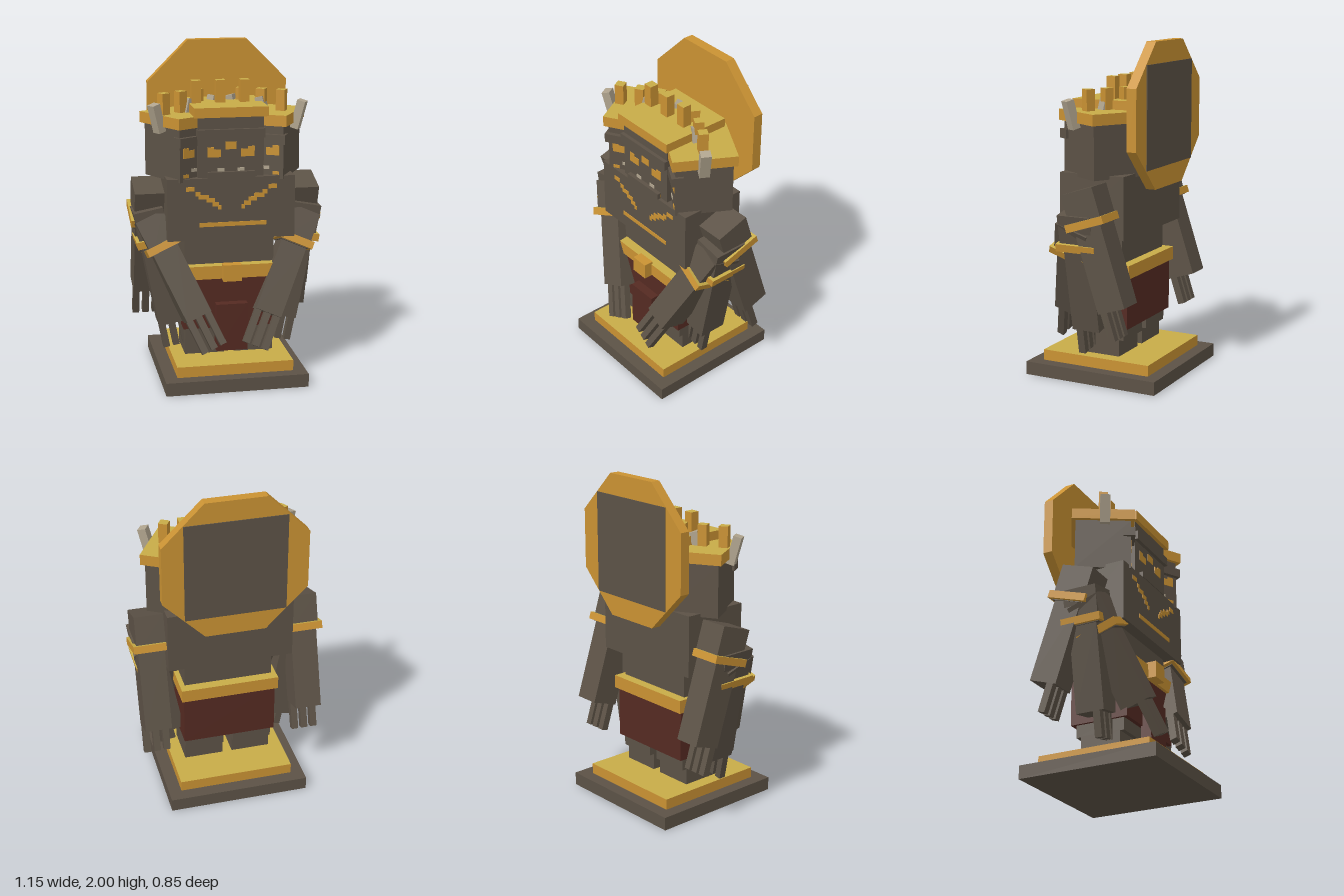
import * as THREE from 'three';

const mat = (name, color) => Object.assign(new THREE.MeshStandardMaterial({ color }), { name });
const rad = THREE.MathUtils.degToRad;

export function createModel() {
  const stone = mat('stone', 0x5c5246);
  const gold = mat('gold', 0xca9233);
  const paleGold = mat('pale gold', 0xc8ac48);
  const red = mat('dark red cloth', 0x552a22);
  const bone = mat('bone', 0xb0a48e);
  // gold slabs have a paler top face
  const gilded = [gold, gold, paleGold, gold, gold, gold];

  const model = new THREE.Group();
  model.name = 'guardianStatue';

  const group = (name, parent, x = 0, y = 0, z = 0) => {
    const g = new THREE.Group();
    g.name = name;
    g.position.set(x, y, z);
    parent.add(g);
    return g;
  };
  // box given by its min and max on each axis
  const box = (name, m, [x0, x1], [y0, y1], [z0, z1], parent = model) => {
    const b = new THREE.Mesh(new THREE.BoxGeometry(x1 - x0, y1 - y0, z1 - z0), m);
    b.position.set((x0 + x1) / 2, (y0 + y1) / 2, (z0 + z1) / 2);
    b.name = name;
    parent.add(b);
    return b;
  };

  // plinth
  box('plinth', stone, [-0.427, 0.427], [0, 0.08], [-0.427, 0.427]);
  box('plinthTop', gilded, [-0.35, 0.35], [0.08, 0.145], [-0.35, 0.35]);

  // lower body
  for (const s of [-1, 1]) {
    const leg = group('leg', model, s * 0.15);
    box('foot', stone, [-0.12, 0.12], [0.145, 0.25], [-0.12, 0.13], leg);
    box('shin', stone, [-0.12, 0.12], [0.245, 0.34], [-0.15, 0.155], leg);
  }
  box('skirt', red, [-0.285, 0.285], [0.32, 0.64], [-0.18, 0.18]);
  box('frontCloth', red, [-0.095, 0.095], [0.19, 0.48], [0.17, 0.235]);
  box('belt', gilded, [-0.3, 0.3], [0.63, 0.71], [-0.2, 0.2]);
  box('buckle', gold, [-0.055, 0.055], [0.625, 0.725], [0.19, 0.25]);
  box('waist', stone, [-0.27, 0.27], [0.7, 0.88], [-0.14, 0.14]);

  // chest with painted ornaments
  box('chest', stone, [-0.38, 0.38], [0.875, 1.245], [-0.205, 0.21]);
  box('chestStripe', gold, [-0.19, 0.21], [0.955, 0.98], [0.21, 0.214]);
  const steps = [[0.245, 1.185, 0.05], [0.2, 1.155, 0.03], [0.165, 1.135, 0.06],
    [0.125, 1.115, 0.05], [0.095, 1.09, 0.04], [0.07, 1.07, 0.02]];
  for (const s of [-1, 1]) {
    for (const [x, y, w] of steps) {
      box('necklace', gold, [s * x - w / 2, s * x + w / 2], [y - 0.013, y + 0.013], [0.21, 0.214]);
    }
  }

  // painted face on a head whose front is at z
  const face = (parent, z) => {
    const at = [z, z + 0.004];
    for (const s of [-1, 1]) {
      box('eye', gold, [s * 0.1 - 0.04, s * 0.1 + 0.04], [1.365, 1.41], at, parent);
      box('eyeCorner', gold, [s * 0.12 - 0.02, s * 0.12 + 0.02], [1.41, 1.425], at, parent);
      box('fang', bone, [s * 0.06 - 0.02, s * 0.06 + 0.02], [1.28, 1.3], at, parent);
      box('cheekMark', gold, [s * 0.12 - 0.02, s * 0.12 + 0.02], [1.25, 1.27], at, parent);
    }
    box('foreheadGem', gold, [-0.033, 0.033], [1.41, 1.455], at, parent);
  };

  // middle head and crown
  box('head', stone, [-0.195, 0.195], [1.23, 1.6], [-0.19, 0.19]);
  face(model, 0.19);
  box('brow', stone, [-0.2, 0.2], [1.475, 1.53], [0.15, 0.212]);
  box('jaw', stone, [-0.14, 0.14], [1.245, 1.28], [0.18, 0.215]);
  box('crown', gilded, [-0.218, 0.218], [1.6, 1.658], [-0.22, 0.213]);
  for (const x of [-0.175, -0.03, 0.115]) {
    box('crownProng', gilded, [x - 0.028, x + 0.028], [1.65, 1.79], [-0.028, 0.028]);
  }

  // turned side heads with their own crowns
  for (const s of [-1, 1]) {
    const g = group('sideHead', model, s * 0.245, 0, -0.005);
    g.rotation.y = rad(-30 * s);
    box('sideHeadBlock', stone, [-0.165, 0.165], [1.225, 1.54], [-0.165, 0.165], g);
    box('sideBrow', stone, [-0.18, 0.18], [1.435, 1.49], [0.12, 0.19], g);
    face(g, 0.165);
    box('sideCrown', gilded, [-0.187, 0.187], [1.54, 1.605], [-0.187, 0.187], g);
    for (const x of [-0.15, -0.025, 0.1]) {
      box('sideProng', gilded, [x - 0.027, x + 0.027], [1.6, 1.73], [-0.027, 0.027], g);
    }
    for (const [x, y] of [[0.21, 1.59], [-0.01, 1.6], [-0.2, 1.6]]) {
      const spike = box('boneSpike', bone, [-0.025, 0.025], [-0.085, 0.085], [-0.03, 0.03], g);
      spike.position.set(s * x, y, 0.01);
      spike.rotation.z = rad(x > 0 ? -15 * s : 15 * s);
    }
  }

  // halo disc with a stone back panel
  const octagon = new THREE.Shape([[0.18, 0.425], [-0.18, 0.425], [-0.427, 0.178], [-0.427, -0.178],
    [-0.18, -0.425], [0.18, -0.425], [0.427, -0.178], [0.427, 0.178]].map(p => new THREE.Vector2(...p)));
  const halo = new THREE.Mesh(new THREE.ExtrudeGeometry(octagon, { depth: 0.06, bevelEnabled: false }), gold);
  halo.name = 'halo';
  halo.position.set(0, 1.575, -0.31);
  model.add(halo);
  box('haloBack', stone, [-0.3, 0.3], [1.275, 1.875], [-0.315, -0.308]);

  // three arms a side: position, tilt about x and z, forearm end, fingertip
  const arms = [
    ['backArm', [0.467, 1.175, 0.005], 18, 0, 0.71, 0.88, 0.05],
    ['frontArm', [0.477, 0.98, 0.03], -18, -24, 0.66, 0.87, 0.04],
    ['middleArm', [0.48, 1.045, 0.02], 0, -11, 0.72, 0.87, 0.04],
  ];
  for (const s of [-1, 1]) {
    for (const [name, [x, y, z], tiltX, tiltZ, end, tip, fz] of arms) {
      const a = group(name, model, s * x, y, z);
      a.rotation.set(rad(tiltX), 0, rad(tiltZ * s));
      box('upperArm', stone, [-0.088, 0.088], [-0.22, 0], [-0.105, 0.105], a);
      box('armBand', gilded, [-0.108, 0.108], [-0.215, -0.17], [-0.125, 0.125], a);
      box('forearm', stone, [-0.08, 0.08], [-end, -0.21], [-0.088, 0.088], a);
      for (const f of [-0.06, 0, 0.06]) {
        box('finger', stone, [f - 0.02, f + 0.02], [-tip, -end + 0.02], [fz - 0.022, fz + 0.022], a);
      }
    }
  }

  return model;
}
